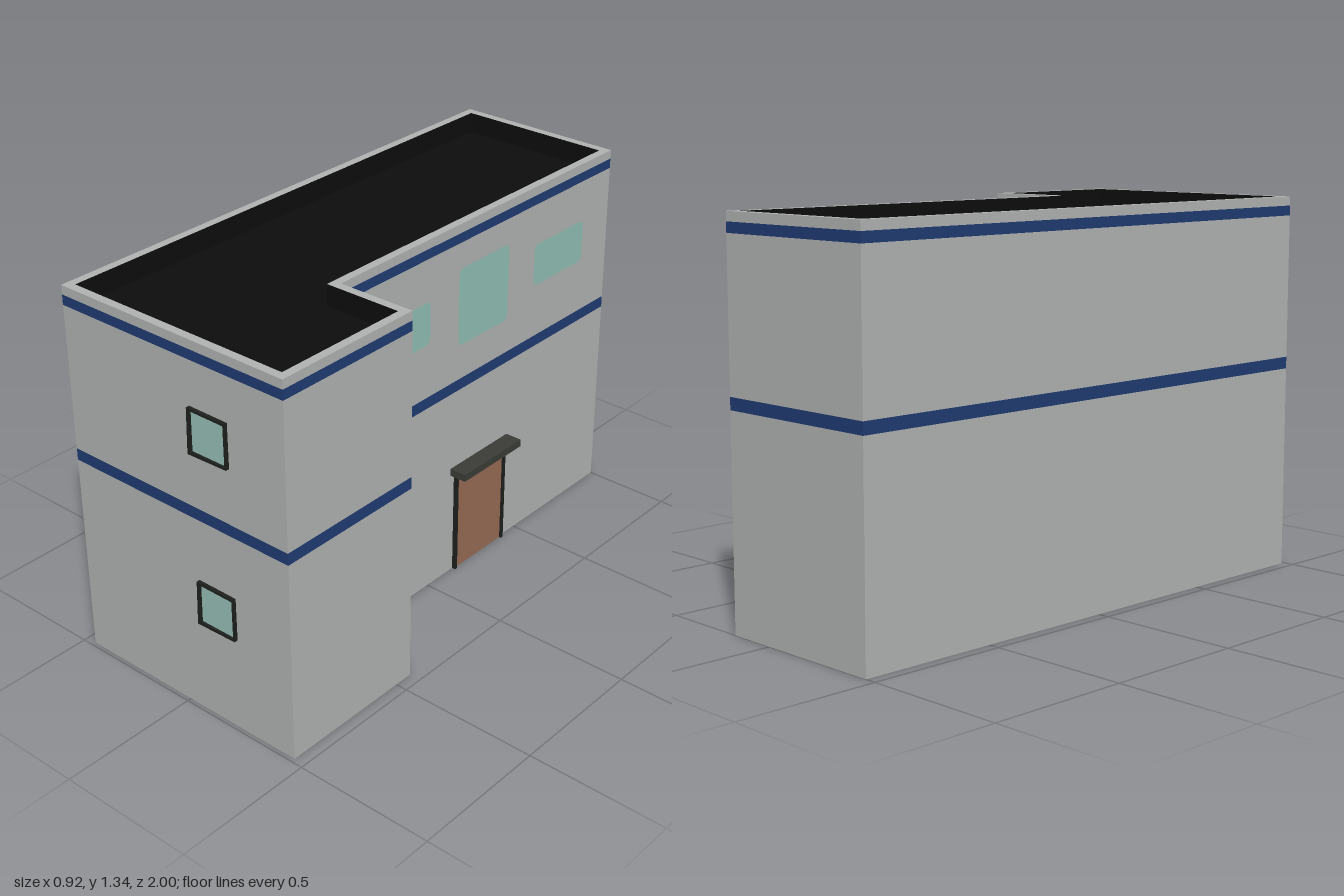
import * as THREE from 'three';

const mat = (name, color, side = THREE.FrontSide) => {
  const m = new THREE.MeshStandardMaterial({ color, side });
  m.name = name;
  return m;
};

// L-shaped outline as [x, z], counter-clockwise from the front left corner
const OUTER = [[-0.46, 0.985], [0.457, 0.985], [0.457, 0.43], [0.175, 0.43], [0.175, -1], [-0.46, -1]];
const INNER = [[-0.43, 0.955], [0.427, 0.955], [0.427, 0.46], [0.145, 0.46], [0.145, -0.97], [-0.43, -0.97]];
const TOP = 1.335, ROOF = 1.26, WALL_X = 0.175, FRONT_Z = 0.985;

// Vertical strip following a closed outline
function strip(outline, y0, y1) {
  const p = [];
  outline.forEach(([ax, az], i) => {
    const [bx, bz] = outline[(i + 1) % outline.length];
    p.push(ax, y0, az, bx, y0, bz, bx, y1, bz, ax, y0, az, bx, y1, bz, ax, y1, az);
  });
  const g = new THREE.BufferGeometry();
  g.setAttribute('position', new THREE.Float32BufferAttribute(p, 3));
  g.computeVertexNormals();
  return g;
}

const toPoints = (outline) => outline.map(([a, b]) => new THREE.Vector2(a, -b));

// Flat horizontal surface from an outline, with an optional hole
function slab(outline, y, hole) {
  const s = new THREE.Shape(toPoints(outline));
  if (hole) s.holes.push(new THREE.Path(toPoints(hole)));
  return new THREE.ShapeGeometry(s).rotateX(-Math.PI / 2).translate(0, y, 0);
}

function roundedRect(w, h, r) {
  const s = new THREE.Shape(), x = w / 2, y = h / 2;
  s.moveTo(-x + r, -y).lineTo(x - r, -y).quadraticCurveTo(x, -y, x, -y + r);
  s.lineTo(x, y - r).quadraticCurveTo(x, y, x - r, y);
  s.lineTo(-x + r, y).quadraticCurveTo(-x, y, -x, y - r);
  s.lineTo(-x, -y + r).quadraticCurveTo(-x, -y, -x + r, -y);
  return new THREE.ShapeGeometry(s, 4);
}

export function createModel() {
  const model = new THREE.Group();
  model.name = 'building';
  const wall = mat('wall grey', 0xb0b2b1, THREE.DoubleSide);
  const blue = mat('band blue', 0x1f3b72, THREE.DoubleSide);
  const black = mat('roof black', 0x0d0d0d, THREE.DoubleSide);
  const glass = mat('front glass', 0x98beb7);
  const sideGlass = mat('side glass', 0x90beb4);
  const frame = mat('frame dark', 0x1d201c);
  const canopyMat = mat('canopy charcoal', 0x3a3c37);
  const wood = mat('door brown', 0x966a55);

  const add = (parent, name, geo, material, x = 0, y = 0, z = 0) => {
    const m = new THREE.Mesh(geo, material);
    m.name = name;
    m.position.set(x, y, z);
    parent.add(m);
    return m;
  };
  const box = (parent, name, w, h, d, material, x, y, z) =>
    add(parent, name, new THREE.BoxGeometry(w, h, d), material, x, y, z);

  // Walls, open at the bottom, with two flush bands
  [
    ['lowerWall', 0, 0.72, wall], ['middleBand', 0.72, 0.762, blue],
    ['upperWall', 0.762, 1.268, wall], ['topBand', 1.268, 1.303, blue],
    ['parapetWall', 1.303, TOP, wall],
  ].forEach(([name, y0, y1, m]) => add(model, name, strip(OUTER, y0, y1), m));

  // Parapet rim and sunken roof
  add(model, 'parapetRim', slab(OUTER, TOP, INNER), wall);
  add(model, 'parapetInside', strip([...INNER].reverse(), ROOF, TOP), black);
  add(model, 'roof', slab(INNER, ROOF), black);

  // Front windows with slightly crooked frames
  [0.34, 0.955].forEach((y, i) => {
    const win = new THREE.Group();
    win.name = i ? 'upperFrontWindow' : 'lowerFrontWindow';
    win.position.set(0.152, y + 0.079, FRONT_Z);
    model.add(win);
    const outline = new THREE.Shape([[-0.082, -0.081], [0.078, -0.076], [0.078, 0.079], [-0.077, 0.079]]
      .map((c) => new THREE.Vector2(...c)));
    const opening = [[-0.069, -0.07], [-0.067, 0.071], [0.072, 0.071], [0.072, -0.069]]
      .map((c) => new THREE.Vector2(...c));
    outline.holes.push(new THREE.Path(opening));
    add(win, 'windowFrame', new THREE.ExtrudeGeometry(outline, { depth: 0.013, bevelEnabled: false }), frame);
    add(win, 'windowGlass', new THREE.ShapeGeometry(new THREE.Shape(opening)), glass, 0, 0, 0.004);
  });

  // Side windows: [centre z, centre y, width, height]
  [[0.137, 1.039, 0.27, 0.156], [-0.28, 1.034, 0.268, 0.285], [-0.703, 1.041, 0.285, 0.156]]
    .forEach(([z, y, w, h]) => {
      add(model, 'sideWindow', roundedRect(w, h, 0.025), sideGlass, WALL_X + 0.003, y, z).rotation.y = Math.PI / 2;
    });

  // Door with jambs and a canopy
  const entrance = new THREE.Group();
  entrance.name = 'entrance';
  entrance.position.set(WALL_X, 0, -0.28);
  model.add(entrance);
  box(entrance, 'door', 0.006, 0.395, 0.26, wood, 0.003, 0.1975, 0);
  for (const s of [-1, 1]) box(entrance, 'doorJamb', 0.014, 0.395, 0.011, frame, 0.007, 0.1975, s * 0.134);
  box(entrance, 'doorHead', 0.014, 0.008, 0.268, frame, 0.007, 0.392, 0);
  box(entrance, 'canopy', 0.064, 0.027, 0.318, canopyMat, 0.032, 0.41, 0);

  return model;
}
